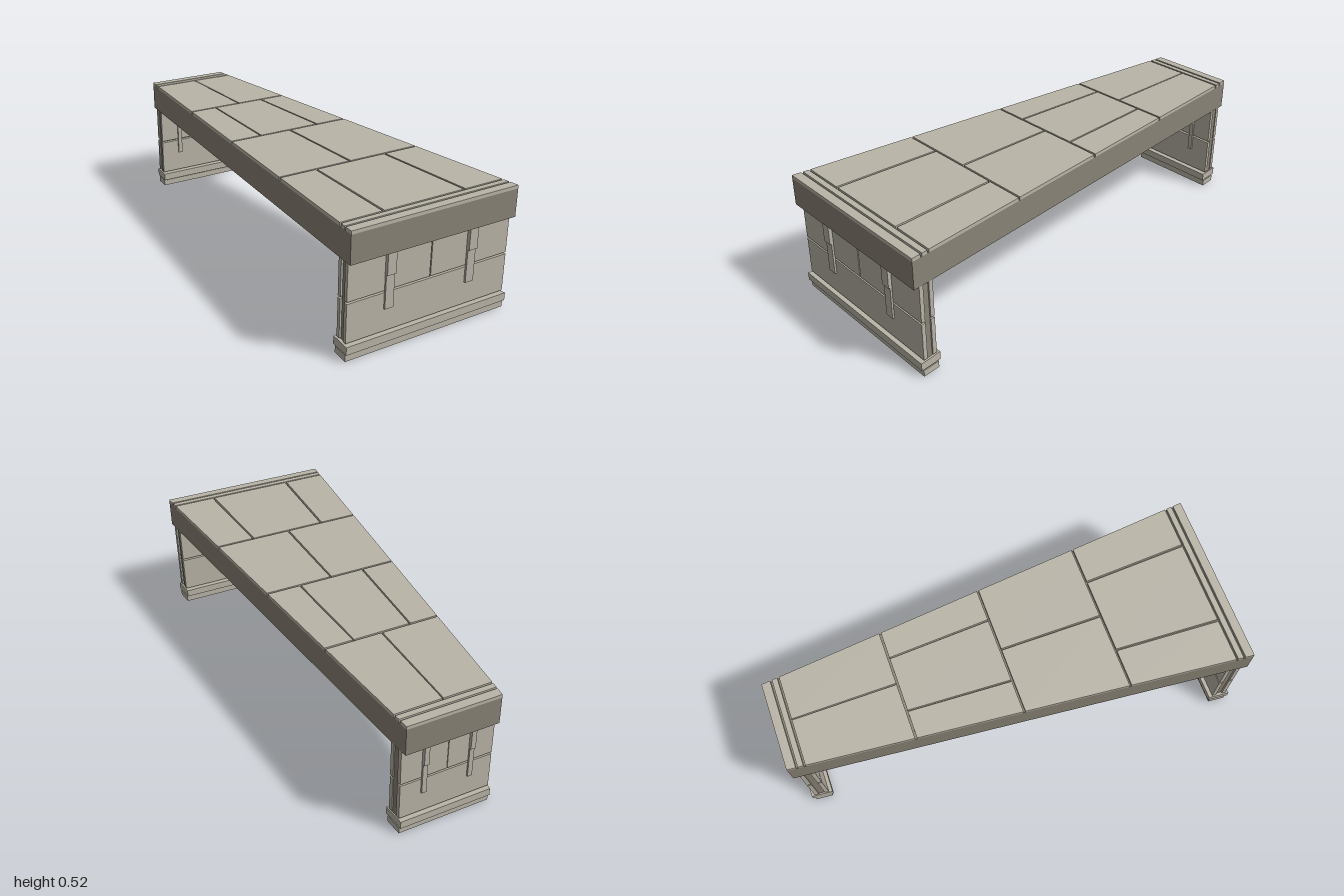
import * as THREE from 'three';

const pale = new THREE.MeshStandardMaterial({ color: 0xbab5a8, flatShading: true });
const dark = new THREE.MeshStandardMaterial({ color: 0x8a8376, flatShading: true });

const BACK = -0.3825, FRONT = 0.3825, LEFT = -0.9615, RIGHT = 1, SKEW = 0.1;

// Skewed, tapering plan: a = x on the back edge, v = 0 at the back to 1 at the front
function plan(a, v) {
  const front = FRONT * (a - LEFT) / (RIGHT - LEFT);
  const z = BACK + v * (front - BACK);
  return [a - SKEW * (z - BACK), z];
}

// A box bent to the plan
function block(parent, name, [a0, a1], [v0, v1], [y0, y1], material = pale) {
  const geometry = new THREE.BoxGeometry(1, 1, 1);
  const p = geometry.attributes.position;
  for (let i = 0; i < p.count; i++) {
    const [x, z] = plan(p.getX(i) < 0 ? a0 : a1, p.getZ(i) < 0 ? v0 : v1);
    p.setXYZ(i, x, p.getY(i) < 0 ? y0 : y1, z);
  }
  geometry.computeVertexNormals();
  const mesh = new THREE.Mesh(geometry, material);
  mesh.name = name;
  parent.add(mesh);
}

function buildTop() {
  const top = new THREE.Group();
  top.name = 'top';
  block(top, 'slab', [LEFT, RIGHT], [0, 1], [0.395, 0.511], dark);

  // Columns of paving panels and the cross seams in each
  const edges = [LEFT, -0.92, -0.889, -0.435, 0.015, 0.465, 0.926, 0.958, RIGHT];
  const seams = [[], [], [0.49], [0.25, 0.75], [0.5], [0.25, 0.75], [], []];
  const gap = 0.004;
  seams.forEach((cuts, i) => {
    const a0 = edges[i] + (i > 0 ? gap : 0);
    const a1 = edges[i + 1] - (i < seams.length - 1 ? gap : 0);
    const stops = [0, ...cuts, 1];
    for (let j = 0; j + 1 < stops.length; j++) {
      const v0 = stops[j] + (j > 0 ? 0.006 : 0);
      const v1 = stops[j + 1] - (j + 2 < stops.length ? 0.006 : 0);
      block(top, 'topPanel', [a0, a1], [v0, v1], [0.511, 0.525]);
    }
  });
  return top;
}

// One end support; depths are measured inward from the end of the slab
function buildSupport(side) {
  const support = new THREE.Group();
  support.name = side > 0 ? 'leftSupport' : 'rightSupport';
  const span = (d0, d1) => (side > 0 ? [RIGHT - d1, RIGHT - d0] : [LEFT + d0, LEFT + d1]);

  block(support, 'foot', span(0.02, 0.094), [0, 0.994], [0, 0.027]);
  block(support, 'base', span(0.01, 0.103), [0, 0.997], [0.032, 0.065]);
  block(support, 'core', span(0.042, 0.071), [0.012, 0.98], [0.06, 0.396], dark);

  // Facing panels and stepped straps on both faces
  const faces = [
    { panel: span(0.025, 0.043), low: span(0.017, 0.026), high: span(0.01, 0.026) },
    { panel: span(0.07, 0.088), low: span(0.087, 0.096), high: span(0.087, 0.103) },
  ];
  for (const { panel, low, high } of faces) {
    block(support, 'lowerPanel', panel, [0.003, 0.991], [0.071, 0.23]);
    block(support, 'upperPanel', panel, [0.003, 0.496], [0.238, 0.395]);
    block(support, 'upperPanel', panel, [0.502, 0.991], [0.238, 0.395]);
    for (const v of [0.25, 0.75]) {
      block(support, 'lowerStrap', low, [v - 0.025, v + 0.025], [0.165, 0.303]);
      block(support, 'upperStrap', high, [v - 0.026, v + 0.026], [0.303, 0.395]);
    }
  }
  return support;
}

export function createModel() {
  const model = new THREE.Group();
  model.name = 'taperedBench';
  model.add(buildTop(), buildSupport(1), buildSupport(-1));
  return model;
}
